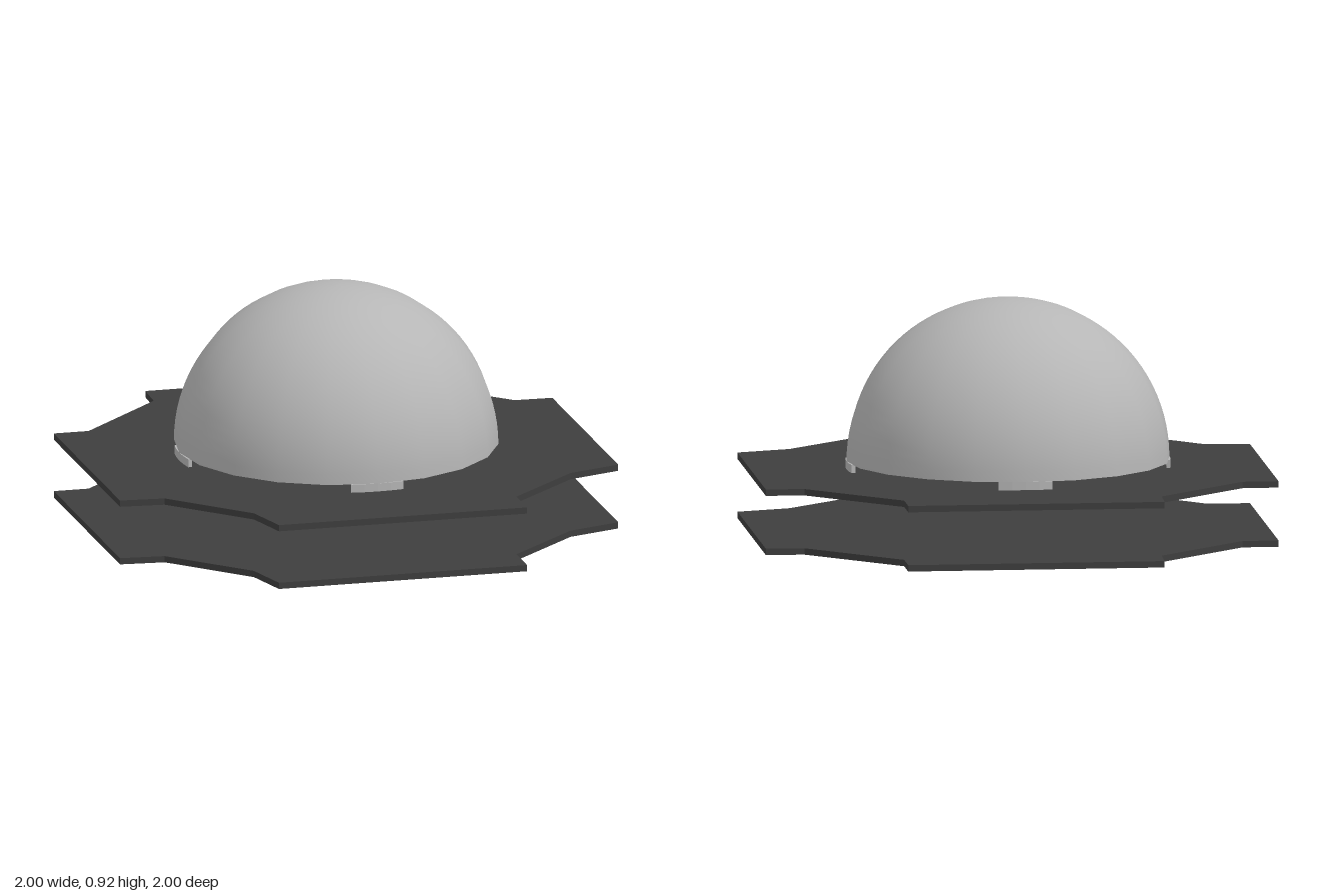
import * as THREE from 'three';

const SEGMENTS = 20;      // sides of the dome
const OUTER = 0.63, INNER = 0.615;
const RIM_Y = 0.288;      // lower edge of the dome
const PLATE_TOP = 0.257;

// Lays a shape drawn as (x, -z) flat and gives it height upward from y.
function slab(shape, y, height, curveSegments = 1) {
  const geo = new THREE.ExtrudeGeometry(shape, { depth: height, bevelEnabled: false, curveSegments });
  return geo.rotateX(-Math.PI / 2).translate(0, y, 0);
}

// Quarter-circle profile, bottom to top.
function domeProfile(radius) {
  return Array.from({ length: 25 }, (_, i) => {
    const a = (i / 24) * Math.PI / 2;
    return new THREE.Vector2(i === 24 ? 0 : radius * Math.cos(a), RIM_Y + radius * Math.sin(a));
  });
}

export function createModel() {
  const model = new THREE.Group();
  const charcoal = new THREE.MeshStandardMaterial({ color: 0x3e3e3e });
  charcoal.name = 'charcoal';
  const grey = new THREE.MeshStandardMaterial({ color: 0xb6b6b6 });
  grey.name = 'grey';

  const add = (parent, name, geometry, material) => {
    const mesh = new THREE.Mesh(geometry, material);
    mesh.name = name;
    parent.add(mesh);
    return mesh;
  };

  // Two notched plates with the same slightly uneven outline, as x, z
  const outline = [
    [-0.5, -1], [0.5, -1], [0.5, -0.855], [0.85, -0.505],
    [1, -0.5], [1, 0.495], [0.79, 0.565], [0.5, 0.84],
    [0.5, 1], [-0.495, 1], [-0.545, 0.81], [-0.825, 0.515],
    [-1, 0.5], [-1, -0.5], [-0.86, -0.5], [-0.505, -0.855],
  ];
  const plate = new THREE.Shape(outline.map(([x, z]) => new THREE.Vector2(x, -z)));
  add(model, 'lowerPlate', slab(plate, 0, 0.025), charcoal);
  add(model, 'upperPlate', slab(plate, PLATE_TOP - 0.025, 0.025), charcoal);

  // Hollow dome: outer skin, inner skin and flat rim
  const dome = new THREE.Group();
  dome.name = 'dome';
  model.add(dome);
  add(dome, 'domeOuter', new THREE.LatheGeometry(domeProfile(OUTER), SEGMENTS), grey);
  add(dome, 'domeInner', new THREE.LatheGeometry(domeProfile(INNER).reverse(), SEGMENTS), grey);
  const rim = [new THREE.Vector2(INNER, RIM_Y), new THREE.Vector2(OUTER, RIM_Y)];
  add(dome, 'domeRim', new THREE.LatheGeometry(rim, SEGMENTS), grey);

  // Four curved feet carry the dome above the upper plate
  const half = Math.asin(0.105 / OUTER);
  const sector = new THREE.Shape();
  sector.absarc(0, 0, OUTER, -half, half, false);
  sector.absarc(0, 0, INNER, half, -half, true);
  const footGeometry = slab(sector, PLATE_TOP - 0.005, RIM_Y - PLATE_TOP + 0.006, 2);
  for (let i = 0; i < 4; i++) {
    add(dome, 'domeFoot', footGeometry, grey).rotation.y = i * Math.PI / 2;
  }

  return model;
}
